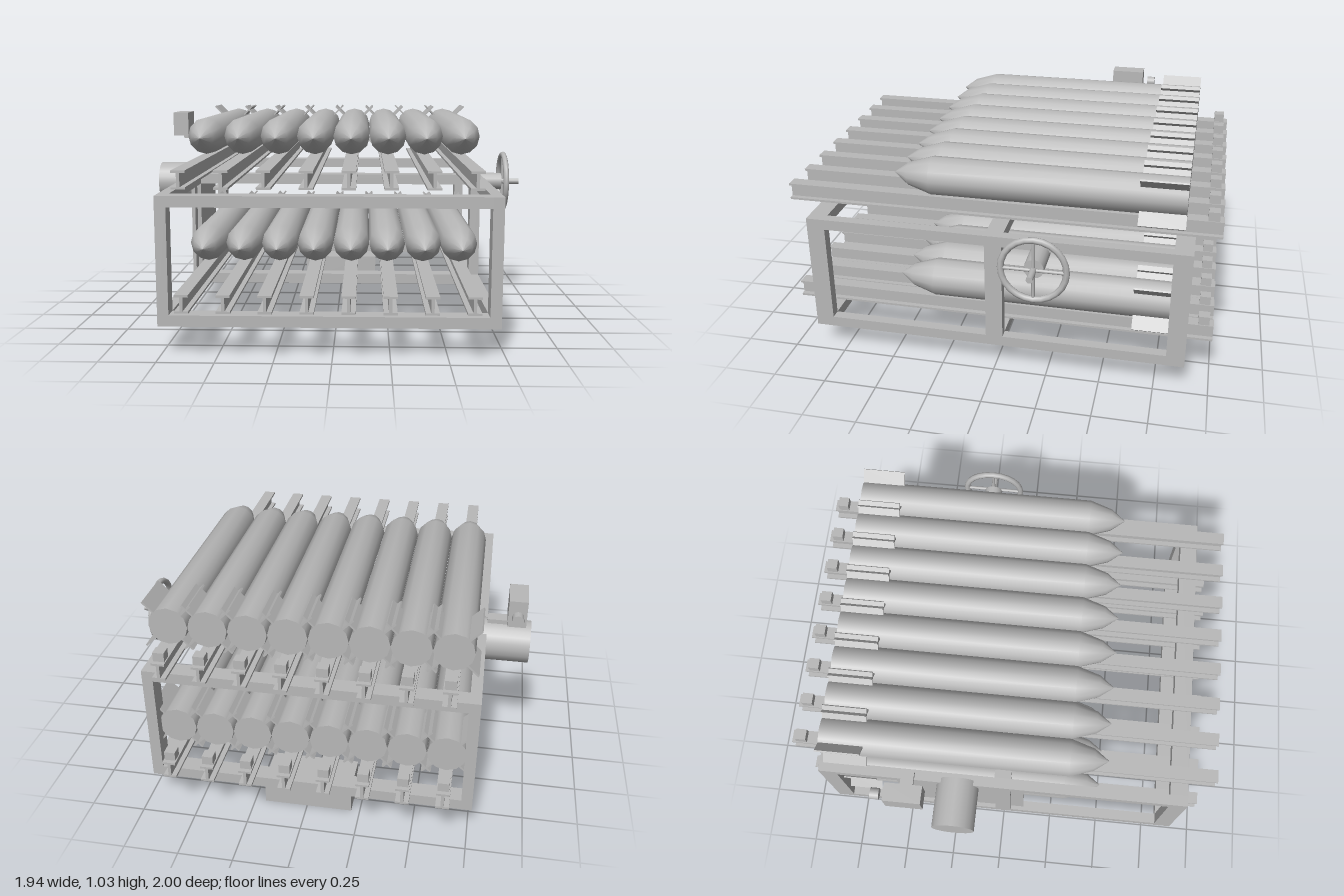
import * as THREE from 'three';
import { toCreasedNormals } from 'three/addons/utils/BufferGeometryUtils.js';

const steel = new THREE.MeshStandardMaterial({ color: 0xb8b8b8 });
steel.name = 'grey steel';

function add(parent, name, geometry) {
  const mesh = new THREE.Mesh(geometry, steel);
  mesh.name = name;
  parent.add(mesh);
  return mesh;
}

// Box given by its limits on each axis
function box(parent, name, x0, x1, y0, y1, z0, z1) {
  const mesh = add(parent, name, new THREE.BoxGeometry(x1 - x0, y1 - y0, z1 - z0));
  mesh.position.set((x0 + x1) / 2, (y0 + y1) / 2, (z0 + z1) / 2);
  return mesh;
}

// Cylinder lying along x
function rodX(parent, name, radius, x0, x1, y, z, sides) {
  const g = new THREE.CylinderGeometry(radius, radius, x1 - x0, sides).rotateZ(Math.PI / 2);
  const mesh = add(parent, name, g);
  mesh.position.set((x0 + x1) / 2, y, z);
  return mesh;
}

function makeFrame() {
  const frame = new THREE.Group();
  frame.name = 'frame';
  const L = -0.765, R = 0.73, B = 0.125, T = 0.7, t = 0.05;
  // front, middle and back rings
  for (const [z0, z1] of [[0.8, 0.885], [-0.04, 0.04], [-0.885, -0.8]]) {
    box(frame, 'leftPost', R - t, R, B, T, z0, z1);
    box(frame, 'rightPost', L, L + t, B, T, z0, z1);
    box(frame, 'bottomCrossbar', L + t, R - t, B, B + t, z0, z1);
    box(frame, 'topCrossbar', L + t, R - t, T - t, T, z0, z1);
  }
  // long side beams between the rings
  for (const x of [L, R - t]) for (const y of [B, T - t]) {
    box(frame, 'sideBeam', x, x + t, y, y + t, 0.04, 0.8);
    box(frame, 'sideBeam', x, x + t, y, y + t, -0.8, -0.04);
  }
  box(frame, 'sidePanel', -0.745, -0.735, 0.15, 0.675, -0.525, 0.105);
  box(frame, 'lowerBox', -0.21, 0.2, 0, 0.13, -0.84, -0.635);
  return frame;
}

// I-beam section extruded along z, with an end stop
const w = 0.03, v = 0.007, f = 0.01, h = 0.08;
const section = new THREE.Shape([
  [-w, 0], [w, 0], [w, f], [v, f], [v, h - f], [w, h - f],
  [w, h], [-w, h], [-w, h - f], [-v, h - f], [-v, f], [-w, f],
].map(([x, y]) => new THREE.Vector2(x, y)));
const railGeometry = new THREE.ExtrudeGeometry(section, { depth: 2, bevelEnabled: false }).translate(0, 0, -1);

// Pointed body turned around z, with its nose at +z
const profile = [[0, -0.84], [0.088, -0.84], [0.088, 0.305], [0.053, 0.415], [0, 0.485]]
  .map(([r, z]) => new THREE.Vector2(r, z));
const bodyGeometry = toCreasedNormals(new THREE.LatheGeometry(profile, 12).rotateX(Math.PI / 2), 0.6);
const finGeometry = new THREE.BoxGeometry(0.075, 0.008, 0.205).translate(0.115, 0, -0.7375);

function makeStation(x, y) {
  const station = new THREE.Group();
  station.name = 'station';
  station.position.set(x, y, 0);
  add(station, 'rail', railGeometry);
  box(station, 'railStop', -0.025, 0.025, h, h + 0.042, -0.98, -0.93);
  const rocket = new THREE.Group();
  rocket.name = 'rocket';
  rocket.position.y = 0.174;
  add(rocket, 'body', bodyGeometry);
  for (let i = 0; i < 4; i++) {
    add(rocket, 'fin', finGeometry).rotation.z = Math.PI / 4 + i * Math.PI / 2;
  }
  station.add(rocket);
  return station;
}

function makeHandwheel() {
  const wheel = new THREE.Group();
  wheel.name = 'handwheel';
  const y = 0.638, z = -0.215;
  rodX(wheel, 'wheelShaft', 0.045, 0.7, 0.87, y, z, 16);
  rodX(wheel, 'wheelSpindle', 0.015, 0.86, 0.967, y, z, 12);
  const rim = add(wheel, 'rim', new THREE.TorusGeometry(0.145, 0.015, 8, 24).rotateY(Math.PI / 2));
  rim.position.set(0.88, y, z);
  // two crossing bars make the four spokes
  for (const angle of [0, Math.PI / 2]) {
    const bar = add(wheel, 'spokes', new THREE.CylinderGeometry(0.008, 0.008, 0.28, 8));
    bar.position.set(0.88, y, z);
    bar.rotation.x = angle;
  }
  return wheel;
}

function makeSight() {
  const sight = new THREE.Group();
  sight.name = 'sight';
  box(sight, 'sightBox', -0.93, -0.848, 0.873, 1, -0.51, -0.34);
  box(sight, 'sightArm', -0.885, -0.762, 0.855, 0.875, -0.46, -0.4);
  // eyepiece just behind the box
  const eyepiece = new THREE.CylinderGeometry(0.026, 0.026, 0.04, 12).rotateX(Math.PI / 2);
  add(sight, 'eyepiece', eyepiece).position.set(-0.89, 0.938, -0.555);
  return sight;
}

export function createModel() {
  const model = new THREE.Group();
  model.name = 'launcher';
  model.add(makeFrame());
  // two layers of eight stations
  for (const y of [0.215, 0.742]) {
    for (let i = 0; i < 8; i++) model.add(makeStation(-0.635 + i * 0.1765, y));
  }
  rodX(model, 'motor', 0.102, -0.97, -0.74, 0.635, -0.215, 20);
  model.add(makeHandwheel(), makeSight());
  return model;
}
